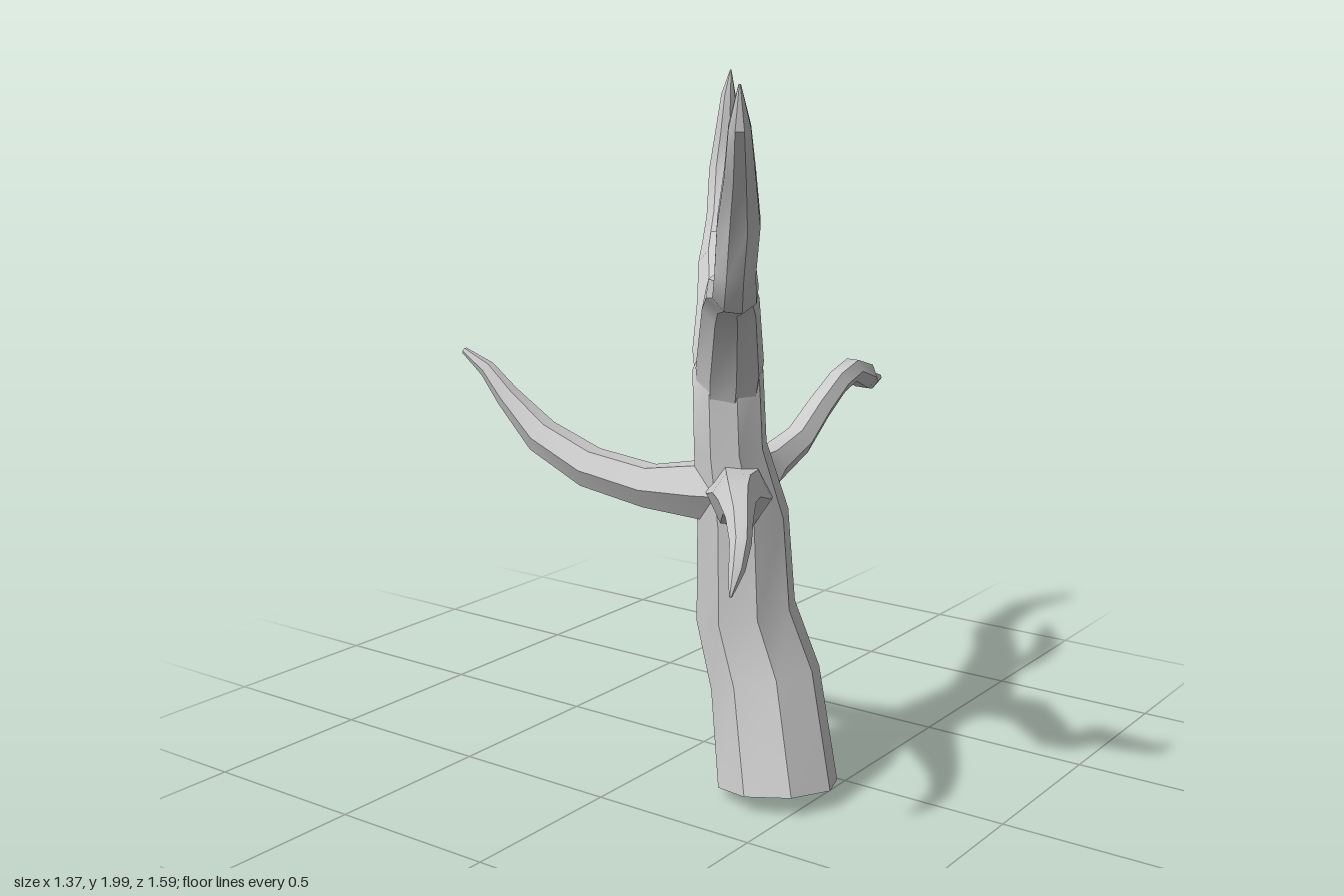
import * as THREE from 'three';
import { toCreasedNormals } from 'three/addons/utils/BufferGeometryUtils.js';

const material = new THREE.MeshStandardMaterial({ color: 0xcccccc });

// Lofts a closed limb through stations [x, y, z, radius]
function limb(name, stations, sides, startNormal) {
  const centres = stations.map(([x, y, z]) => new THREE.Vector3(x, y, z));
  const last = centres.length - 1;
  const direction = (a, b) => centres[b].clone().sub(centres[a]).normalize();
  const positions = [];
  const index = [];
  let normal = null;

  centres.forEach((centre, i) => {
    // Average the neighbouring segment directions, then carry the frame along
    const tangent = direction(Math.max(i - 1, 0), Math.max(i, 1));
    if (i > 0 && i < last) tangent.add(direction(i, i + 1)).normalize();
    if (i === 0 && startNormal) tangent.copy(startNormal).normalize();
    if (!normal) {
      normal = Math.abs(tangent.x) > 0.8 ? new THREE.Vector3(0, 0, 1) : new THREE.Vector3(1, 0, 0);
    }
    normal.addScaledVector(tangent, -normal.dot(tangent)).normalize();
    const binormal = tangent.clone().cross(normal);
    for (let j = 0; j < sides; j++) {
      const a = (j / sides) * Math.PI * 2;
      const p = centre.clone()
        .addScaledVector(normal, Math.cos(a) * stations[i][3])
        .addScaledVector(binormal, Math.sin(a) * stations[i][3]);
      positions.push(p.x, p.y, p.z);
    }
  });

  const startCentre = positions.length / 3;
  positions.push(...centres[0].toArray(), ...centres[last].toArray());
  for (let j = 0; j < sides; j++) {
    const k = (j + 1) % sides;
    for (let i = 0; i < last; i++) {
      const a = i * sides + j, b = i * sides + k;
      index.push(a, b, b + sides, a, b + sides, a + sides);
    }
    index.push(startCentre, k, j);
    index.push(startCentre + 1, last * sides + j, last * sides + k);
  }

  const geometry = new THREE.BufferGeometry();
  geometry.setAttribute('position', new THREE.Float32BufferAttribute(positions, 3));
  geometry.setIndex(index);
  const mesh = new THREE.Mesh(toCreasedNormals(geometry, 0.6), material);
  mesh.name = name;
  return mesh;
}

export function createModel() {
  const tree = new THREE.Group();
  tree.name = 'bareTree';

  // Leaning trunk with a slightly tilted cut base
  tree.add(limb('trunk', [
    [0.39, 0.03, 0.185, 0.172], [0.305, 0.31, 0.125, 0.16], [0.24, 0.5, 0.13, 0.145],
    [0.235, 0.78, 0.14, 0.132], [0.212, 0.98, 0.17, 0.104], [0.21, 1.2, 0.18, 0.1],
    [0.2, 1.27, 0.16, 0.07],
  ], 8, new THREE.Vector3(-0.12, 1, -0.12)));

  // Two upper limbs of the fork
  tree.add(limb('frontUpperBranch', [
    [0.21, 1.1, 0.18, 0.085], [0.23, 1.22, 0.2, 0.095], [0.315, 1.41, 0.32, 0.078],
    [0.37, 1.455, 0.4, 0.066], [0.475, 1.478, 0.53, 0.06], [0.505, 1.54, 0.575, 0.055],
    [0.525, 1.66, 0.59, 0.057], [0.6, 1.79, 0.695, 0.04], [0.65, 1.9, 0.77, 0.028],
    [0.66, 1.995, 0.785, 0.003],
  ], 8));
  tree.add(limb('backUpperBranch', [
    [0.21, 1.1, 0.18, 0.085], [0.175, 1.24, 0.14, 0.095], [0.07, 1.35, 0, 0.078],
    [-0.02, 1.437, -0.11, 0.066], [-0.145, 1.475, -0.29, 0.057], [-0.18, 1.55, -0.345, 0.048],
    [-0.227, 1.69, -0.42, 0.045], [-0.222, 1.8, -0.428, 0.036], [-0.212, 1.92, -0.425, 0.023],
    [-0.207, 1.995, -0.43, 0.002],
  ], 8));

  // Three side branches at mid height
  tree.add(limb('rightBranch', [
    [0.23, 0.86, 0.17, 0.1], [0.14, 0.855, 0.2, 0.088], [-0.03, 0.845, 0.225, 0.066],
    [-0.23, 0.875, 0.245, 0.062], [-0.41, 0.945, 0.247, 0.054], [-0.54, 1.05, 0.25, 0.036],
    [-0.61, 1.125, 0.258, 0.025], [-0.69, 1.175, 0.27, 0.01],
  ], 6));
  tree.add(limb('backBranch', [
    [0.22, 0.865, 0.14, 0.1], [0.21, 0.87, 0.04, 0.08], [0.2, 0.885, -0.05, 0.056],
    [0.2, 0.93, -0.2, 0.047], [0.203, 1.01, -0.31, 0.041], [0.212, 1.075, -0.4, 0.038],
    [0.2, 1.095, -0.5, 0.038], [0.185, 1.06, -0.6, 0.043], [0.155, 1.03, -0.68, 0.03],
    [0.125, 1.018, -0.795, 0.01],
  ], 6));
  tree.add(limb('frontBranch', [
    [0.22, 0.85, 0.14, 0.1], [0.29, 0.865, 0.24, 0.09], [0.35, 0.9, 0.34, 0.065],
    [0.42, 0.915, 0.44, 0.05], [0.49, 0.9, 0.53, 0.036], [0.545, 0.86, 0.605, 0.028],
    [0.565, 0.805, 0.65, 0.021], [0.57, 0.745, 0.685, 0.004],
  ], 6));

  return tree;
}
